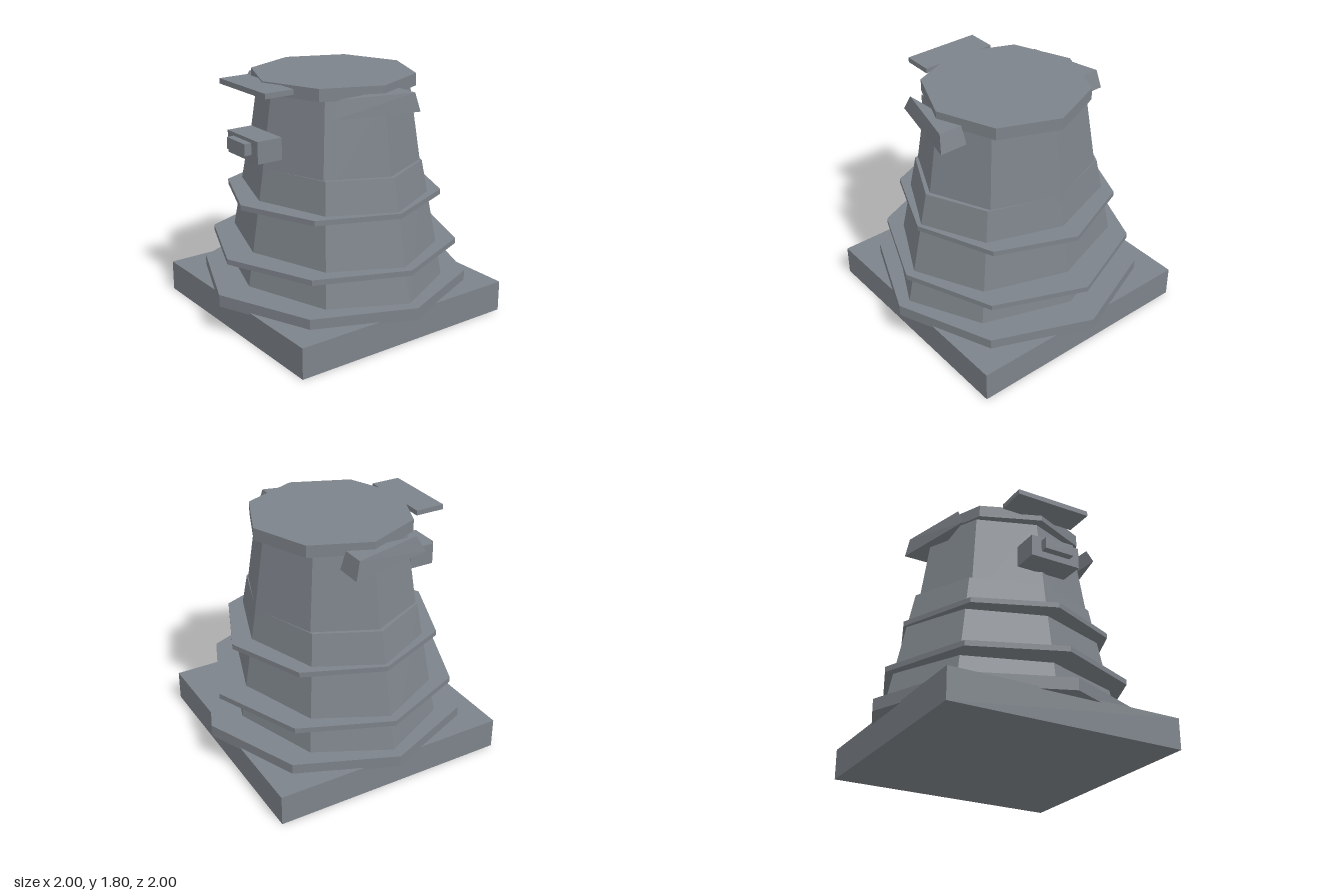
import * as THREE from 'three';
import { ConvexGeometry } from 'three/addons/geometries/ConvexGeometry.js';

export function createModel() {
  const model = new THREE.Group();
  model.name = 'octagonalTower';
  const grey = new THREE.MeshStandardMaterial({ color: 0x7d838a, flatShading: true });
  grey.name = 'slate grey';

  function add(name, geometry) {
    const mesh = new THREE.Mesh(geometry, grey);
    mesh.name = name;
    model.add(mesh);
    return mesh;
  }

  // Box given by its extents
  function box(name, x0, x1, y0, y1, z0, z1) {
    add(name, new THREE.BoxGeometry(x1 - x0, y1 - y0, z1 - z0))
      .position.set((x0 + x1) / 2, (y0 + y1) / 2, (z0 + z1) / 2);
  }

  // Eight-sided frustum with corners on the axes; depth may differ from width
  function octagon(name, y0, y1, rx0, rz0, rx1 = rx0, rz1 = rz0) {
    const geometry = new THREE.CylinderGeometry(1, 1, y1 - y0, 8);
    const p = geometry.attributes.position;
    for (let i = 0; i < p.count; i++) {
      const top = p.getY(i) > 0;
      p.setX(i, p.getX(i) * (top ? rx1 : rx0));
      p.setZ(i, p.getZ(i) * (top ? rz1 : rz0));
    }
    add(name, geometry).position.y = (y0 + y1) / 2;
  }

  // Square plinth and tapering walls
  box('baseSlab', -0.9, 0.895, 0, 0.23, -0.895, 0.9);
  octagon('lowerBody', 0.25, 1.175, 0.922, 0.759, 0.715, 0.607);
  octagon('upperBody', 1.0, 1.72, 0.708, 0.634, 0.596, 0.528);

  // Ledges and lid
  octagon('bottomLedge', 0.215, 0.305, 1, 1);
  octagon('middleLedge', 0.52, 0.56, 0.923, 0.923);
  octagon('upperLedge', 0.902, 0.94, 0.8, 0.8);
  octagon('lid', 1.71, 1.8, 0.6, 0.6);

  // Front visor plate and lamp housing
  box('visor', -0.293, 0.293, 1.752, 1.79, 0.54, 0.765);
  box('frontBox', -0.195, 0.195, 1.28, 1.44, 0.575, 0.77);
  box('frontPanel', -0.115, 0.115, 1.33, 1.415, 0.765, 0.825);

  // Side wedges, narrow at the front and flared downwards
  for (const [name, s] of [['leftWedge', 1], ['rightWedge', -1]]) {
    const corners = [
      [0.72, 1.61, -0.215], [0.51, 1.61, -0.215], [0.565, 1.61, 0.44],
      [0.7, 1.745, -0.18], [0.525, 1.745, -0.18], [0.565, 1.745, 0.355],
    ].map(([x, y, z]) => new THREE.Vector3(s * x, y, z));
    add(name, new ConvexGeometry(corners));
  }

  return model;
}
